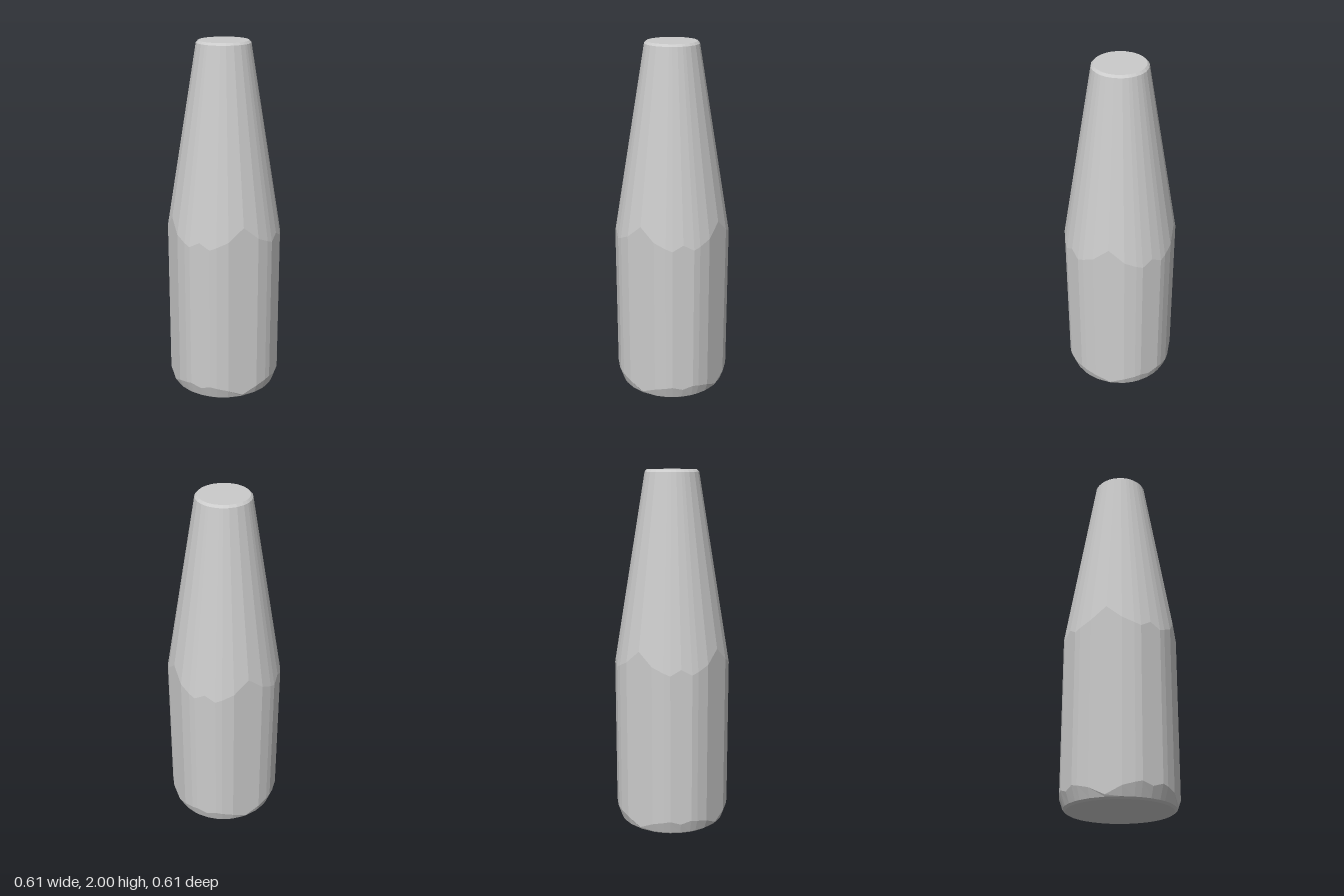
import * as THREE from 'three';

// One quadrant of the faceted body's outline: corners and middles of its flats
const QUADRANT = [
  [0.305, 0], [0.305, 0.087], [0.285, 0.15], [0.268, 0.183],
  [0.2255, 0.2255], [0.183, 0.268], [0.15, 0.285], [0.087, 0.305],
];

// Height at which the tapering cone, or the rounded base, cuts a given body radius
const TOP_R = 0.148, TOP_Y = 1.988, SHOULDER_Y = 1.045;
const coneY = (r) => SHOULDER_Y - ((r - 0.305) * (TOP_Y - SHOULDER_Y)) / (0.305 - TOP_R);
const baseY = (r) => 0.02 + (r - 0.305) * 3.4;

// Profile of one column, from the centre of the base to the centre of the tip
const profile = (r) => [
  [0, 0], [0.285, 0], [0.299, 0.01], [r, baseY(r)],
  [r, coneY(r)], [TOP_R, TOP_Y], [0.136, 2], [0, 2],
];

function bodyGeometry() {
  const positions = [], indices = [];
  const columns = QUADRANT.length * 4;
  const rows = profile(0.305).length;
  for (let i = 0; i < columns; i++) {
    const [x, z] = QUADRANT[i % QUADRANT.length];
    const angle = Math.atan2(z, x) + Math.floor(i / QUADRANT.length) * Math.PI / 2;
    for (const [r, y] of profile(Math.hypot(x, z))) {
      positions.push(r * Math.cos(angle), y, r * Math.sin(angle));
    }
    const a = i * rows, b = ((i + 1) % columns) * rows;
    for (let k = 0; k < rows - 1; k++) {
      if (k < rows - 2) indices.push(a + k, a + k + 1, b + k + 1);
      if (k > 0) indices.push(a + k, b + k + 1, b + k);
    }
    // closing triangle of the tip
    indices.push(a + rows - 2, a + rows - 1, b + rows - 2);
  }
  const geometry = new THREE.BufferGeometry();
  geometry.setAttribute('position', new THREE.Float32BufferAttribute(positions, 3));
  geometry.setIndex(indices);
  const flat = geometry.toNonIndexed();
  flat.computeVertexNormals();
  return flat;
}

export function createModel() {
  const group = new THREE.Group();
  group.name = 'taperedPeg';
  // Faceted prism body cut by a cone above and rounded below
  const body = new THREE.Mesh(
    bodyGeometry(),
    new THREE.MeshStandardMaterial({ color: 0xcccccc, flatShading: true }),
  );
  body.name = 'facetedBody';
  group.add(body);
  return group;
}
